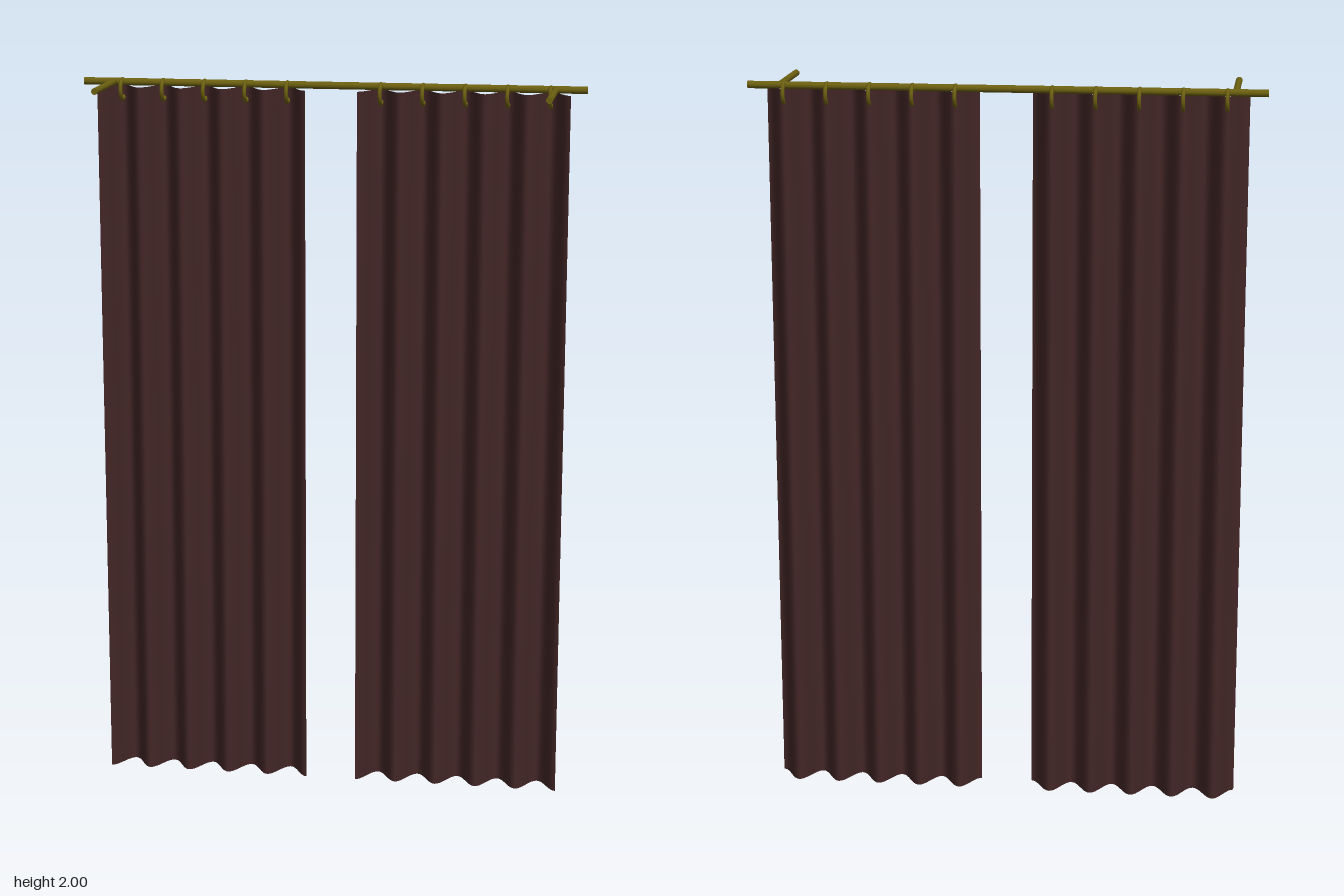
import * as THREE from 'three';

const ROD_Y = 1.988, ROD_Z = -0.102, FOLDS = 5, PANEL_W = 0.576, PANEL_H = 1.979;

export function createModel() {
  const brass = new THREE.MeshStandardMaterial({ name: 'agedBrass', color: 0x6b5f10 });
  const cloth = new THREE.MeshStandardMaterial({ name: 'darkMaroonCloth', color: 0x432626, side: THREE.DoubleSide });
  const model = new THREE.Group();
  model.name = 'curtains';

  function add(parent, name, geometry, material, x, y, z) {
    const mesh = new THREE.Mesh(geometry, material);
    mesh.name = name;
    mesh.position.set(x, y, z);
    parent.add(mesh);
    return mesh;
  }

  // Horizontal rod
  add(model, 'rod', new THREE.CylinderGeometry(0.01, 0.01, 1.384, 20).rotateZ(Math.PI / 2), brass, 0, ROD_Y, ROD_Z);

  // Brackets reaching from the rod to the wall
  const bracketLength = 0.234;
  const bracketGeo = new THREE.CylinderGeometry(0.009, 0.009, bracketLength, 16).rotateX(Math.PI / 2);
  for (const side of [-1, 1]) {
    add(model, side > 0 ? 'leftBracket' : 'rightBracket', bracketGeo, brass,
      side * 0.607, ROD_Y, ROD_Z + bracketLength / 2);
  }

  // Pleated sheet: a cosine wave along the width, straight down the drop
  const sheet = new THREE.PlaneGeometry(PANEL_W, PANEL_H, FOLDS * 16, 1);
  const p = sheet.attributes.position;
  for (let i = 0; i < p.count; i++) {
    const t = p.getX(i) / PANEL_W + 0.5;
    p.setZ(i, 0.035 * Math.cos(t * FOLDS * Math.PI * 2));
  }
  sheet.computeVertexNormals();

  // Two panels, each hung from one ring per rear pleat
  const ringGeo = new THREE.TorusGeometry(0.027, 0.0055, 10, 24).rotateY(Math.PI / 2);
  for (const [name, cx] of [['rightPanel', -0.355], ['leftPanel', 0.363]]) {
    const panel = new THREE.Group();
    panel.name = name;
    panel.position.x = cx;
    add(panel, 'curtain', sheet, cloth, 0, PANEL_H / 2, -0.081);
    for (let i = 0; i < FOLDS; i++) {
      const x = ((i + 0.5) / FOLDS - 0.5) * PANEL_W;
      add(panel, 'ring', ringGeo, brass, x, 1.9675, ROD_Z);
    }
    model.add(panel);
  }
  return model;
}
